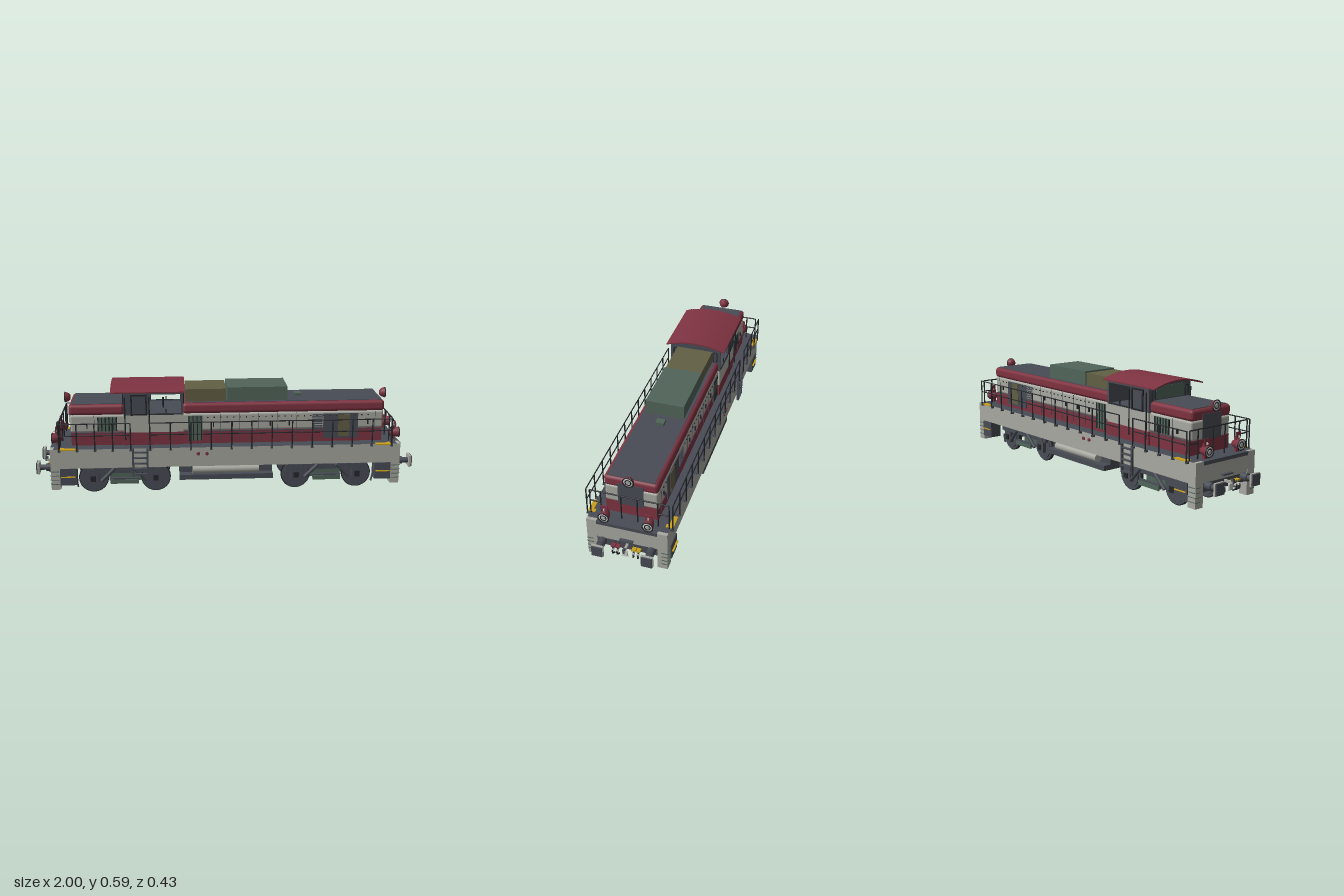
import * as THREE from 'three';
import { RoundedBoxGeometry } from 'three/addons/geometries/RoundedBoxGeometry.js';

const paint = (name, color) => Object.assign(new THREE.MeshStandardMaterial({ color }), { name });

export function createModel() {
  const red = paint('red', 0x7e3341), grey = paint('light grey', 0xa8a9a1), dark = paint('dark grey', 0x484c54);
  const green = paint('green', 0x51655a), olive = paint('olive', 0x625f44), yellow = paint('yellow', 0xc9a01c);
  const black = paint('black', 0x24272b), pale = paint('pale grey', 0xc8c9c4);
  const model = new THREE.Group();
  model.name = 'locomotive';
  const V = (x, y, z) => new THREE.Vector3(x, y, z);
  const sides = [1, -1];

  const add = (name, geo, mat, x = 0, y = 0, z = 0) => {
    const m = new THREE.Mesh(geo, mat);
    m.name = name;
    m.position.set(x, y, z);
    model.add(m);
    return m;
  };
  // box by its limits; limits may come in either order, so mirroring is just a sign
  const box = (name, mat, x0, x1, y0, y1, z0, z1, r = 0) => {
    const w = Math.abs(x1 - x0), h = Math.abs(y1 - y0), d = Math.abs(z1 - z0);
    const g = r ? new RoundedBoxGeometry(w, h, d, 3, r) : new THREE.BoxGeometry(w, h, d);
    return add(name, g, mat, (x0 + x1) / 2, (y0 + y1) / 2, (z0 + z1) / 2);
  };
  const rod = (name, mat, a, b, r = 0.0035, seg = 8) => {
    const d = b.clone().sub(a);
    const m = add(name, new THREE.CylinderGeometry(r, r, d.length(), seg), mat);
    m.position.copy(a).addScaledVector(d, 0.5);
    m.quaternion.setFromUnitVectors(V(0, 1, 0), d.normalize());
    return m;
  };
  const disc = (name, mat, x, y, z0, z1, r) => rod(name, mat, V(x, y, z0), V(x, y, z1), r, 32);

  // main frame: light sides, dark deck and underside
  box('frame', [grey, grey, dark, dark, grey, grey], -0.915, 0.915, 0.165, 0.268, -0.2, 0.2);

  // hood, split by the cab in its upper half
  box('hoodBase', red, -0.81, 0.83, 0.268, 0.337, -0.13, 0.13);
  box('hoodBody', grey, -0.815, 0.835, 0.337, 0.432, -0.13, 0.13, 0.012);
  for (const [x0, x1] of [[-0.82, -0.53], [-0.228, 0.84]]) {
    box('hoodTopBand', red, x0, x1, 0.43, 0.487, -0.133, 0.133, 0.018);
    box('hoodRoof', dark, x0 + 0.015, x1 - 0.012, 0.482, 0.489, -0.115, 0.115);
  }
  box('rearEndDoor', dark, -0.82, -0.823, 0.337, 0.46, -0.063, 0.063);
  box('frontEndDoor', dark, 0.84, 0.843, 0.337, 0.46, -0.063, 0.063);
  box('oliveRoofBox', olive, -0.213, 0.002, 0.485, 0.555, -0.098, 0.098);
  box('greenRoofBox', green, 0.008, 0.325, 0.485, 0.562, -0.1, 0.1);
  box('exhaust', green, 0.375, 0.41, 0.485, 0.506, -0.022, 0.022);

  // hood side panels, louvres, handles and rivets
  for (const s of sides) {
    const z = s * 0.13, panel = (n, m, x0, x1, y0, y1, t = 0.004) => box(n, m, x0, x1, y0, y1, z, z + s * t);
    panel('sideGrille', green, -0.2, -0.125, 0.285, 0.42);
    for (let i = 0; i < 4; i++) panel('grilleBar', black, -0.197 + i * 0.021, -0.192 + i * 0.021, 0.285, 0.42, 0.007);
    panel('rearGrille', green, -0.67, -0.575, 0.345, 0.42);
    for (let i = 0; i < 6; i++) panel('grilleBar', black, -0.672 + i * 0.019, -0.666 + i * 0.019, 0.345, 0.42, 0.007);
    for (let i = 0; i < 7; i++) panel('louvre', dark, 0.455, 0.51, 0.34 + i * 0.012, 0.346 + i * 0.012, 0.008);
    panel('radiatorPanel', dark, 0.515, 0.7, 0.285, 0.42);
    panel('radiatorInset', olive, 0.595, 0.655, 0.295, 0.415, 0.007);
    for (const x of [-0.73, -0.07, 0.03, 0.13, 0.23, 0.33, 0.75]) {
      panel('doorHandle', black, x, x + 0.006, 0.36, 0.385, 0.008);
      panel('doorSeam', dark, x + 0.04, x + 0.042, 0.285, 0.43, 0.002);
    }
    for (let i = 0; i < 26; i++) panel('rivet', black, -0.1 + i * 0.034, -0.094 + i * 0.034, 0.408, 0.413, 0.005);
    box('bandTrim', dark, -0.81, 0.83, 0.333, 0.338, z, z + s * 0.003);
  }

  // cab: side walls with an open window, door with framed pane
  const rect = (S, x0, x1, y0, y1) => new S().moveTo(x0, y0).lineTo(x1, y0).lineTo(x1, y1).lineTo(x0, y1).closePath();
  const wall = (name, mat, outer, holes, depth) => {
    const sh = rect(THREE.Shape, ...outer);
    for (const h of holes) sh.holes.push(rect(THREE.Path, ...h));
    return new THREE.ExtrudeGeometry(sh, { depth, bevelEnabled: false });
  };
  for (const s of sides) {
    const out = (d) => s * d;
    add('cabSideWall', wall('', dark, [-0.535, -0.225, 0.43, 0.563], [[-0.4, -0.237, 0.437, 0.54]], 0.01), dark, 0, 0, s > 0 ? 0.13 : -0.14);
    box('cabLowerSide', grey, -0.535, -0.225, 0.337, 0.43, out(0.125), out(0.14));
    box('cabBaseSide', red, -0.535, -0.225, 0.268, 0.337, out(0.125), out(0.14));
    add('doorWindowFrame', wall('', black, [-0.498, -0.413, 0.43, 0.54], [[-0.49, -0.421, 0.438, 0.532]], 0.006), black, 0, 0, s > 0 ? 0.14 : -0.146);
    for (const x of [-0.528, -0.402]) rod('cabHandrail', black, V(x, 0.3, out(0.15)), V(x, 0.53, out(0.15)));
    rod('windowBar', black, V(-0.4, 0.437, out(0.143)), V(-0.237, 0.437, out(0.143)));
    rod('windowPost', black, V(-0.315, 0.437, out(0.137)), V(-0.315, 0.46, out(0.137)));
  }
  rod('controlLever', black, V(-0.33, 0.43, 0), V(-0.33, 0.49, 0), 0.005);
  box('cabFloor', dark, -0.53, -0.23, 0.425, 0.434, -0.13, 0.13);
  // arched end walls with windows either side
  const arc = (w, edge, top, n = 16) => Array.from({ length: n + 1 }, (_, i) => {
    const t = (i / n) * 2 - 1;
    return new THREE.Vector2(t * w, edge + (top - edge) * (1 - t * t));
  });
  for (const x of [-0.535, -0.235]) {
    const sh = new THREE.Shape([new THREE.Vector2(0.14, 0.43), new THREE.Vector2(-0.14, 0.43), ...arc(0.14, 0.562, 0.581)]);
    const m = add('cabEndWall', new THREE.ExtrudeGeometry(sh, { depth: 0.01, bevelEnabled: false }), dark, x);
    m.rotation.y = Math.PI / 2;
    const face = x < -0.4 ? x - 0.003 : x + 0.012;
    for (const s of sides) {
      const loop = [[0.102, 0.49], [0.122, 0.49], [0.122, 0.54], [0.102, 0.54]].map(([z, y]) => V(face, y, s * z));
      add('endWindowFrame', new THREE.TubeGeometry(new THREE.CatmullRomCurve3(loop, true, 'catmullrom', 0.3), 24, 0.003, 6, true), black);
    }
  }
  box('rearCabGlass', green, -0.535, -0.538, 0.492, 0.555, -0.095, 0.095);
  // curved roof sheet
  const roofShape = new THREE.Shape([...arc(0.163, 0.559, 0.588), ...arc(0.163, 0.553, 0.58).reverse()]);
  const roof = add('cabRoof', new THREE.ExtrudeGeometry(roofShape, { depth: 0.383, bevelEnabled: false }), red, -0.6);
  roof.rotation.y = Math.PI / 2;

  // lamps: lathe shell, rim and lens, facing along e
  const lamp = (name, x, y, z, e, len) => {
    const shell = new THREE.LatheGeometry([[0, -len], [0.013, -len], [0.022, -len * 0.6], [0.027, 0]].map(p => new THREE.Vector2(...p)), 24);
    const parts = [add(name + 'Shell', shell, red, x, y, z)];
    parts.push(add(name + 'Lens', new THREE.CylinderGeometry(0.021, 0.026, 0.006, 24), pale, x, y, z));
    parts.push(add(name + 'Bulb', new THREE.CylinderGeometry(0.008, 0.01, 0.012, 16), grey, x, y, z));
    for (const p of parts) p.rotation.z = -e * Math.PI / 2;
    for (const r of [0.026, 0.014]) add(name + 'Rim', new THREE.TorusGeometry(r, 0.0028, 6, 28), black, x + e * 0.003, y, z).rotation.y = Math.PI / 2;
  };

  for (const e of sides) {
    const X = (v) => e * v;
    // end beam with skirts, step slots and buffers
    box('endPlate', grey, X(0.9), X(0.918), 0.18, 0.25, -0.2, 0.2);
    box('endLip', dark, X(0.9), X(0.92), 0.25, 0.268, -0.15, 0.15);
    box('couplerPanel', dark, X(0.88), X(0.912), 0.12, 0.182, -0.15, 0.15);
    box('couplerStep', dark, X(0.91), X(0.935), 0.183, 0.19, -0.033, 0.033);
    for (const s of sides) {
      const Z = (v) => s * v;
      box('cornerSkirt', grey, X(0.87), X(0.918), 0.05, 0.25, Z(0.15), Z(0.2));
      box('cornerTop', grey, X(0.9), X(0.918), 0.25, 0.268, Z(0.15), Z(0.2));
      for (let i = 0; i < 4; i++) {
        box('stepSlot', green, X(0.918), X(0.921), 0.079 + i * 0.023, 0.082 + i * 0.023, Z(0.17), Z(0.2));
        box('sideSlot', green, X(0.875), X(0.915), 0.079 + i * 0.023, 0.082 + i * 0.023, Z(0.2), Z(0.203));
      }
      box('sandBox', dark, X(0.785), X(0.87), 0.075, 0.165, Z(0.14), Z(0.205));
      box('sandBoxMark', yellow, X(0.79), X(0.865), 0.119, 0.123, Z(0.205), Z(0.214));
      box('deckMark', yellow, X(0.785), X(0.865), 0.266, 0.271, Z(0.188), Z(0.212));
      box('cornerMark', yellow, X(0.845), X(0.865), 0.268, 0.271, Z(0.175), Z(0.19));
      rod('bufferShank', dark, V(X(0.9), 0.15, Z(0.122)), V(X(0.985), 0.15, Z(0.122)), 0.014, 16);
      rod('bufferSleeve', dark, V(X(0.9), 0.15, Z(0.122)), V(X(0.95), 0.15, Z(0.122)), 0.02, 16);
      box('bufferRim', grey, X(0.983), X(0.994), 0.119, 0.181, Z(0.093), Z(0.152));
      box('bufferHead', dark, X(0.985), X(1), 0.122, 0.178, Z(0.096), Z(0.149));
      rod('sandPipe', dark, V(X(0.8), 0.08, Z(0.105)), V(X(0.79), 0.03, Z(0.105)), 0.005);
      // lower lamps with triangular marker plates
      const lx = e > 0 ? 0.925 : -0.91;
      lamp('markerLamp', lx, 0.305, Z(0.108), e, 0.05);
      box('lampBracket', red, lx - e * 0.035, lx - e * 0.02, 0.268, 0.34, Z(0.098), Z(0.118));
      box('markerPlate', red, lx - e * 0.02, lx - e * 0.016, 0.336, 0.365, Z(0.092), Z(0.124));
      const tri = add('markerTriangle', new THREE.CylinderGeometry(0.012, 0.012, 0.004, 3), pale, lx - e * 0.015, 0.342, Z(0.108));
      tri.rotation.set(Math.PI / 2, 0, -Math.PI / 2, 'ZXY');
      // brake hoses with coloured taps
      for (const hz of [0.04, 0.063]) {
        const hose = new THREE.CatmullRomCurve3([V(X(0.905), 0.148, Z(hz)), V(X(0.94), 0.14, Z(hz)), V(X(0.95), 0.115, Z(hz)), V(X(0.93), 0.1, Z(hz - 0.004))]);
        add('brakeHose', new THREE.TubeGeometry(hose, 12, 0.004, 6), black);
        box('hoseFitting', pale, X(0.935), X(0.95), 0.126, 0.138, Z(hz - 0.005), Z(hz + 0.005));
        box('hoseTap', s * e > 0 ? red : yellow, X(0.92), X(0.945), 0.146, 0.153, Z(hz - 0.01), Z(hz + 0.01));
      }
    }
    // coupling hook and screw link
    box('couplingHook', grey, X(0.905), X(0.965), 0.145, 0.157, -0.006, 0.006);
    box('hookTip', dark, X(0.955), X(0.97), 0.145, 0.17, -0.005, 0.005);
    box('couplingLink', pale, X(0.945), X(0.955), 0.115, 0.148, -0.012, 0.012);
    rod('couplingBar', pale, V(X(0.95), 0.115, -0.016), V(X(0.95), 0.115, 0.016));
    lamp('topHeadlight', e > 0 ? 0.865 : -0.845, 0.498, 0, e, 0.025);

    // end railing
    const rail = (a, b) => rod('endRail', black, V(X(0.868), ...a), V(X(0.868), ...b));
    rail([0.408, -0.194], [0.408, 0.194]);
    for (const s of sides) {
      for (const z of [0.04, 0.14, 0.194]) rail([0.268, s * z], [0.408, s * z]);
      rail([0.345, s * 0.14], [0.345, s * 0.194]);
    }

    // bogie
    const bx = X(0.54);
    box('bogieCentre', green, bx - 0.085, bx + 0.085, 0.05, 0.102, -0.076, 0.076);
    box('bogieBolster', dark, bx - 0.06, bx + 0.06, 0.1, 0.168, -0.1, 0.1);
    for (const s of sides) {
      box('bogieSideFrame', dark, bx - 0.22, bx + 0.22, 0.118, 0.143, s * 0.122, s * 0.14);
      box('springSeat', dark, bx - 0.075, bx + 0.075, 0.062, 0.085, s * 0.122, s * 0.138);
      box('springSeatFace', green, bx - 0.075, bx + 0.075, 0.055, 0.078, s * 0.138, s * 0.142);
      for (const d of sides) rod('damper', dark, V(bx + d * 0.12, 0.075, s * 0.145), V(bx + d * 0.05, 0.145, s * 0.15), 0.01, 10);
    }
    for (const wx of [bx - 0.165, bx + 0.165]) {
      rod('axle', dark, V(wx, 0.08, -0.13), V(wx, 0.08, 0.13), 0.012, 16);
      for (const s of sides) {
        disc('wheel', dark, wx, 0.08, s * 0.08, s * 0.12, 0.063);
        disc('wheelRim', black, wx, 0.08, s * 0.094, s * 0.108, 0.079);
        disc('wheelTread', dark, wx, 0.08, s * 0.09, s * 0.112, 0.074);
        box('axleBox', dark, wx - 0.03, wx + 0.03, 0.055, 0.14, s * 0.118, s * 0.142);
        box('axleCap', black, wx - 0.014, wx + 0.014, 0.07, 0.1, s * 0.142, s * 0.148);
      }
    }
  }

  // fuel tank and air reservoirs
  box('fuelTank', dark, -0.25, 0.245, 0.085, 0.168, -0.14, 0.14);
  for (const s of sides) {
    box('tankShelf', dark, -0.25, 0.245, 0.085, 0.112, s * 0.14, s * 0.185);
    rod('airReservoir', grey, V(-0.18, 0.137, s * 0.165), V(0.17, 0.137, s * 0.165), 0.022, 24);
    for (const x of [-0.15, -0.105]) disc('fillerCap', red, x, 0.234, s * 0.2, s * 0.206, 0.009);

    // cab ladder
    for (const x of [-0.49, -0.415]) box('ladderRail', dark, x - 0.005, x + 0.005, 0.12, 0.268, s * 0.2, s * 0.212);
    for (let i = 0; i < 5; i++) box('ladderStep', dark, -0.49, -0.415, 0.125 + i * 0.03, 0.132 + i * 0.03, s * 0.198, s * 0.214);

    // side railings with a gap at the ladder
    for (const [x0, x1, n] of [[-0.868, -0.5, 4], [-0.4, 0.868, 12]]) {
      for (const y of [0.345, 0.408]) rod('sideRail', black, V(x0, y, s * 0.212), V(x1, y, s * 0.212), 0.003);
      for (let i = 0; i <= n; i++) {
        const x = x0 + (x1 - x0) * i / n;
        rod('railPost', black, V(x, 0.262, s * 0.212), V(x, 0.408, s * 0.212));
        box('railFoot', dark, x - 0.006, x + 0.006, 0.258, 0.268, s * 0.2, s * 0.215);
      }
    }
  }
  return model;
}
